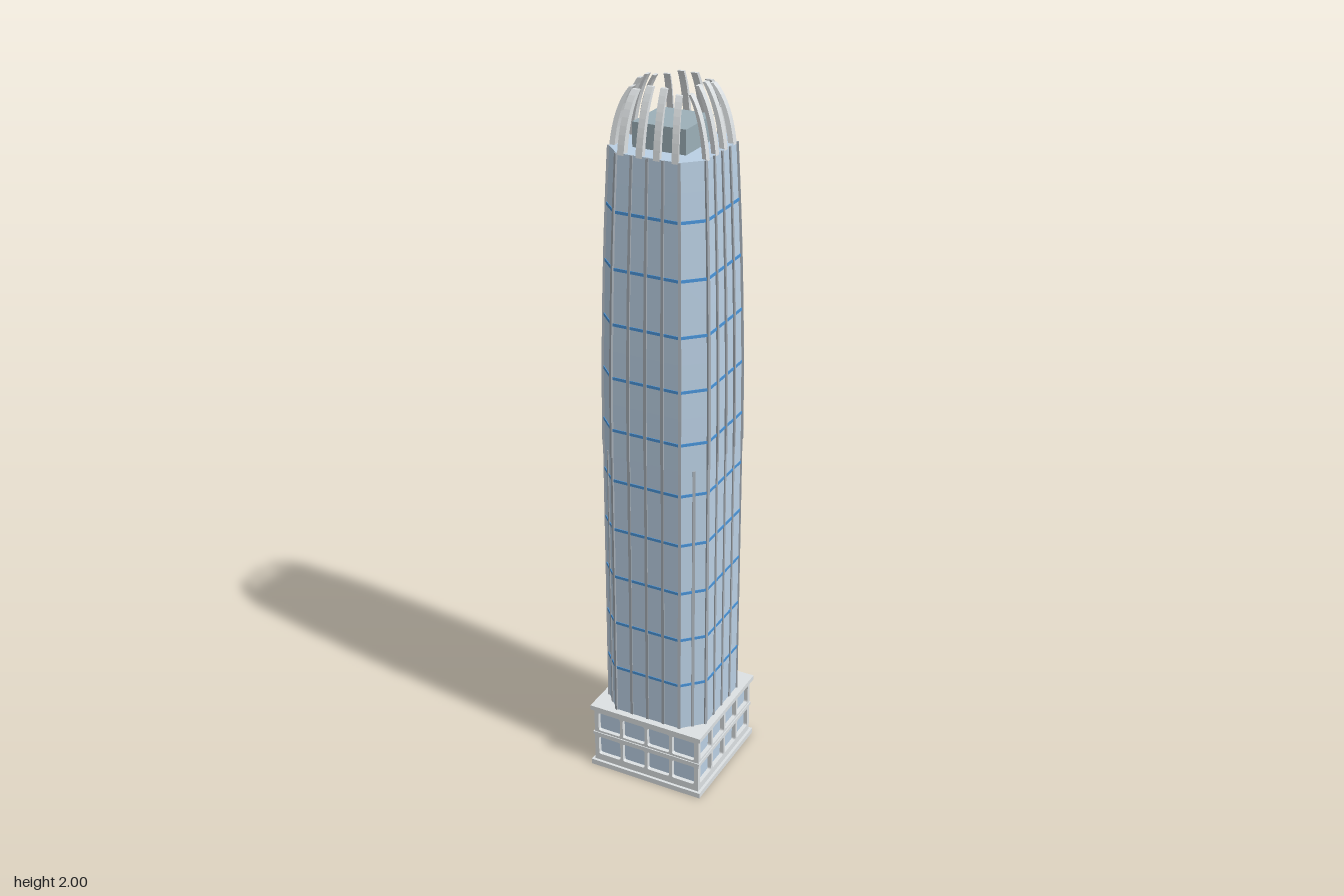
import * as THREE from 'three';

const mat = (name, color) => {
  const m = new THREE.MeshStandardMaterial({ color });
  m.name = name;
  return m;
};

const BASE = 0.2, MID = 1.015, TOP = 1.84, LEVELS = 11, HALF = 0.155, CORNER = 0.1;

// Plan scale of the shaft: straight below, curving inward above
const taper = (y) => 1 - 0.14 * Math.max(0, (y - 0.98) / (TOP - 0.98)) ** 2;

function applyTaper(geo) {
  const p = geo.attributes.position;
  for (let i = 0; i < p.count; i++) {
    const s = taper(p.getY(i));
    p.setX(i, p.getX(i) * s);
    p.setZ(i, p.getZ(i) * s);
  }
  geo.computeVertexNormals();
  return geo;
}

// Square plan with cut corners, raised from y0 to y1
function octagonPrism(grow, y0, y1, steps) {
  const h = HALF + grow, c = CORNER + grow * 0.41;
  const pts = [[h, -c], [h, c], [c, h], [-c, h], [-h, c], [-h, -c], [-c, -h], [c, -h]];
  const shape = new THREE.Shape(pts.map(([x, y]) => new THREE.Vector2(x, y)));
  const geo = new THREE.ExtrudeGeometry(shape, { depth: y1 - y0, steps, bevelEnabled: false });
  geo.rotateX(-Math.PI / 2).translate(0, y0, 0);
  return applyTaper(geo);
}

// Window wall of the podium: four bays on two floors
function podiumWall() {
  const rect = (path, x, y, w, h, r) => {
    path.moveTo(x + r, y);
    path.lineTo(x + w - r, y);
    path.quadraticCurveTo(x + w, y, x + w, y + r);
    path.lineTo(x + w, y + h - r);
    path.quadraticCurveTo(x + w, y + h, x + w - r, y + h);
    path.lineTo(x + r, y + h);
    path.quadraticCurveTo(x, y + h, x, y + h - r);
    path.lineTo(x, y + r);
    path.quadraticCurveTo(x, y, x + r, y);
    return path;
  };
  const shape = rect(new THREE.Shape(), -0.167, 0.012, 0.334, 0.183, 0.0005);
  for (let col = 0; col < 4; col++) {
    for (const y of [0.037, 0.12]) {
      shape.holes.push(rect(new THREE.Path(), -0.154 + col * 0.0793, y, 0.07, 0.06, 0.006));
    }
  }
  const geo = new THREE.ExtrudeGeometry(shape, { depth: 0.013, bevelEnabled: false, curveSegments: 3 });
  return geo.translate(0, 0, 0.154);
}

// Upright fin standing proud of the glass, tapering with the shaft
function fin([x, z, turn], y0, y1, proud) {
  const depth = 0.008;
  const geo = new THREE.BoxGeometry(0.008, y1 - y0, depth, 1, LEVELS, 1).toNonIndexed();
  geo.translate(0, 0, proud - depth / 2).rotateY(turn).translate(x, (y0 + y1) / 2, z);
  return applyTaper(geo);
}

// Curved crown rib leaning in towards the centre line
function crownRib(base) {
  const tip = Math.abs(base) > 0.05 ? 1.988 : 2;
  const outer = new THREE.QuadraticBezierCurve(
    new THREE.Vector2(0.134, 1.835), new THREE.Vector2(0.123, 1.94), new THREE.Vector2(0.084, tip));
  const inner = new THREE.QuadraticBezierCurve(
    new THREE.Vector2(0.075, tip), new THREE.Vector2(0.111, 1.94), new THREE.Vector2(0.121, 1.835));
  const shape = new THREE.Shape([...outer.getPoints(8), ...inner.getPoints(8)]);
  const geo = new THREE.ExtrudeGeometry(shape, { depth: 0.018, bevelEnabled: false });
  geo.translate(0, 0, -0.009).rotateY(-Math.PI / 2);
  const p = geo.attributes.position;
  for (let i = 0; i < p.count; i++) {
    p.setX(i, p.getX(i) + base * (1 - 0.22 * (0.135 - p.getZ(i)) / 0.055));
  }
  geo.computeVertexNormals();
  return geo;
}

export function createModel() {
  const group = new THREE.Group();
  const glass = mat('glass', 0xbad0e4);
  const blue = mat('blueBand', 0x4a94d8);
  const metal = mat('finMetal', 0xa4acb4);
  const stone = mat('paleStone', 0xdde1e3);
  const plant = mat('roofPlant', 0x9cb0b8);
  const add = (parent, name, geo, material, y = 0) => {
    const m = new THREE.Mesh(geo, material);
    m.name = name;
    m.position.y = y;
    parent.add(m);
  };

  // Podium
  const podium = new THREE.Group();
  podium.name = 'podium';
  group.add(podium);
  add(podium, 'podiumBase', new THREE.BoxGeometry(0.35, 0.016, 0.35), stone, 0.008);
  add(podium, 'podiumRoof', new THREE.BoxGeometry(0.35, 0.014, 0.35), stone, 0.198);
  add(podium, 'podiumGlass', new THREE.BoxGeometry(0.31, 0.18, 0.31), glass, 0.104);
  add(podium, 'podiumFloorBand', new THREE.BoxGeometry(0.34, 0.009, 0.34), stone, 0.109);

  // Shaft and its storey bands
  add(group, 'towerShaft', octagonPrism(0, BASE, TOP, LEVELS * 2), glass);
  const rise = (TOP - BASE) / LEVELS;
  for (let i = 1; i < LEVELS; i++) {
    const y = BASE + i * rise;
    add(group, 'storeyBand', octagonPrism(0.002, y - 0.004, y + 0.004, 1), blue);
  }

  // Fins and ribs of one quarter; the upper fins stand further out
  const spots = [[-0.05, HALF, 0], [0, HALF, 0], [0.05, HALF, 0],
    [CORNER, HALF, Math.PI / 8], [HALF, CORNER, 3 * Math.PI / 8]];
  const cutCorner = [(HALF + CORNER) / 2, (HALF + CORNER) / 2, Math.PI / 4];
  const lowerFins = [...spots, cutCorner].map((s) => fin(s, BASE, MID, 0.003));
  const upperFins = spots.map((s) => fin(s, MID, TOP, 0.005));
  const ribs = [-0.075, -0.024, 0.024, 0.075].map(crownRib);
  const wall = podiumWall();

  // Four matching sides
  for (let q = 0; q < 4; q++) {
    const side = new THREE.Group();
    side.name = 'side' + (q + 1);
    side.rotation.y = q * Math.PI / 2;
    group.add(side);
    add(side, 'podiumWindowWall', wall, stone);
    lowerFins.forEach((g) => add(side, 'lowerFin', g, metal));
    upperFins.forEach((g) => add(side, 'upperFin', g, metal));
    ribs.forEach((g) => add(side, 'crownRib', g, stone));
  }

  // Rooftop plant room
  add(group, 'roofPlantRoom', new THREE.BoxGeometry(0.148, 0.065, 0.148), plant, TOP + 0.0315);
  return group;
}
